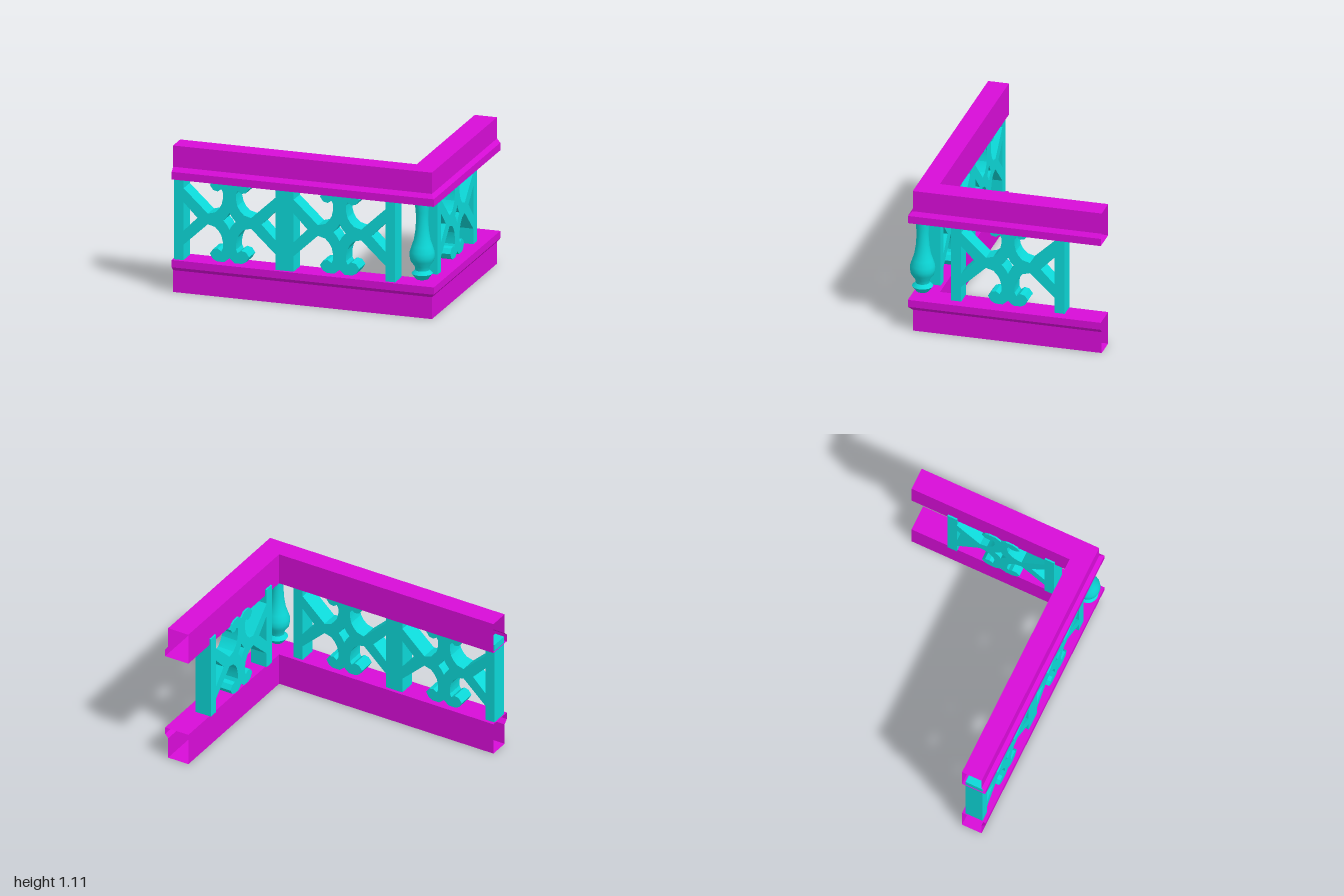
import * as THREE from 'three';
import { toCreasedNormals } from 'three/addons/utils/BufferGeometryUtils.js';

const railMaterial = new THREE.MeshStandardMaterial({ color: 0xd80cd8, flatShading: true, side: THREE.DoubleSide });
const panelMaterial = new THREE.MeshStandardMaterial({ color: 0x0cd8d8 });

// Edge lines of the rail section, as [x on the side run, z on the front run]
const INNER = [0.805, 0.53], OUTER = [0.975, 0.685], LIP = [1, 0.715];

// Hollow L-shaped rail with a mitred corner; profile rows are [edge, y]
function createRail(name, profile) {
  const stations = [
    ([, z], y) => [-1, y, z],
    ([x, z], y) => [x, y, z],
    ([x], y) => [x, y, -0.73],
  ];
  const positions = [];
  for (let s = 0; s < 2; s++) {
    profile.forEach((p, i) => {
      const q = profile[(i + 1) % profile.length];
      const a = stations[s](...p), b = stations[s + 1](...p);
      const c = stations[s + 1](...q), d = stations[s](...q);
      positions.push(...a, ...b, ...c, ...a, ...c, ...d);
    });
  }
  const geometry = new THREE.BufferGeometry();
  geometry.setAttribute('position', new THREE.Float32BufferAttribute(positions, 3));
  geometry.computeVertexNormals();
  const rail = new THREE.Mesh(geometry, railMaterial);
  rail.name = name;
  return rail;
}

// Fretwork panel: one quarter of the outline mirrored both ways
function createPanelGeometry(depth) {
  const quarter = [
    [0, -0.28], [0.04, -0.313], [0.095, -0.313], [0.127, -0.297], [0.15, -0.258],
    [0.125, -0.223], [0.09, -0.215], [0.062, -0.235], [0.05, -0.21], [0.05, -0.165],
    [0.06, -0.12], [0.08, -0.085], [0.11, -0.055], [0.165, -0.04],
    [0.35, -0.213], [0.35, -0.33], [0.425, -0.33],
  ];
  const mirror = (list, sx, sy) => list.map(([x, y]) => new THREE.Vector2(x * sx, y * sy));
  const reversed = [...quarter].reverse();
  const shape = new THREE.Shape([
    ...mirror(quarter, 1, 1),
    ...mirror(reversed.slice(0, -1), 1, -1),
    ...mirror(quarter, -1, -1),
    ...mirror(reversed.slice(0, -1), -1, 1),
  ]);
  const hole = (points) => shape.holes.push(new THREE.Path(mirror(points, 1, 1)));
  // Centre diamond and the triangles beside the posts
  hole([[0, 0.065], [0.02, 0.03], [0.047, 0], [0.02, -0.03], [0, -0.065], [-0.02, -0.03], [-0.047, 0], [-0.02, 0.03]]);
  for (const s of [-1, 1]) hole([[0.35 * s, 0.108], [0.245 * s, 0], [0.35 * s, -0.108]]);
  return toCreasedNormals(new THREE.ExtrudeGeometry(shape, { depth, bevelEnabled: false }), 0.3);
}

function createBaluster() {
  const profile = [
    [0, 0.283], [0.045, 0.283], [0.077, 0.325], [0.05, 0.35], [0.055, 0.38],
    [0.085, 0.42], [0.092, 0.455], [0.09, 0.49], [0.075, 0.535], [0.06, 0.58],
    [0.049, 0.65], [0.044, 0.73], [0.047, 0.79], [0.055, 0.865], [0, 0.865],
  ].map(([r, y]) => new THREE.Vector2(r, y));
  const geometry = toCreasedNormals(new THREE.LatheGeometry(profile, 20), 0.65);
  const baluster = new THREE.Mesh(geometry, panelMaterial);
  baluster.name = 'cornerBaluster';
  baluster.position.set(0.884, 0, 0.637);
  return baluster;
}

export function createModel() {
  const model = new THREE.Group();
  model.name = 'cornerBalustrade';

  model.add(createRail('bottomRail', [
    [INNER, 0], [OUTER, 0], [OUTER, 0.165], [LIP, 0.195], [LIP, 0.25], [INNER, 0.25],
  ]));
  model.add(createRail('topRail', [
    [INNER, 0.858], [LIP, 0.858], [LIP, 0.915], [OUTER, 0.945], [OUTER, 1.105], [INNER, 1.105],
  ]));

  // Two panels along the front, one on the side run
  const frontGeometry = createPanelGeometry(0.135);
  [-0.568, 0.272].forEach((x, i) => {
    const panel = new THREE.Mesh(frontGeometry, panelMaterial);
    panel.name = `frontPanel${i + 1}`;
    panel.position.set(x, 0.58, 0.555);
    model.add(panel);
  });
  const sidePanel = new THREE.Mesh(createPanelGeometry(0.13), panelMaterial);
  sidePanel.name = 'sidePanel';
  sidePanel.rotation.y = Math.PI / 2;
  sidePanel.position.set(0.793, 0.58, -0.013);
  model.add(sidePanel);

  model.add(createBaluster());
  return model;
}
